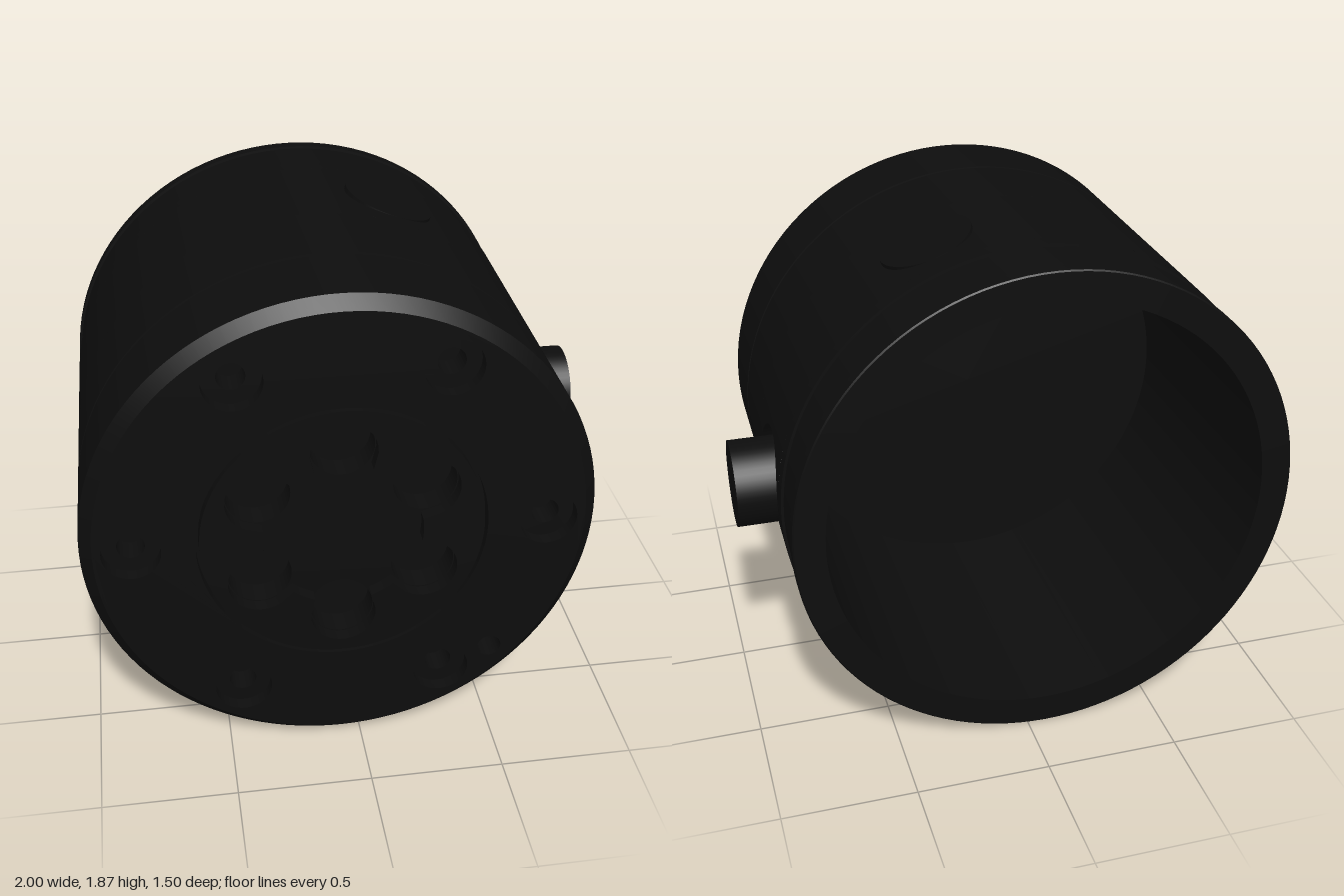
import * as THREE from 'three';
import { toCreasedNormals } from 'three/addons/utils/BufferGeometryUtils.js';

const R = 0.93;          // housing radius
const PORT_Z = -0.21;    // axial position of the side ports
const GAP = 0.2325;      // half size of the wall patch around the connector

const black = new THREE.MeshStandardMaterial({ color: 0x0d0d0d, side: THREE.DoubleSide });
black.name = 'black';

export function createModel() {
  const model = new THREE.Group();
  model.name = 'motorHousing';
  const body = new THREE.Group();
  body.name = 'housing';
  body.position.set(-0.07, 0.935, 0);
  model.add(body);

  const add = (name, geometry) => {
    const mesh = new THREE.Mesh(geometry, black);
    mesh.name = name;
    body.add(mesh);
    return mesh;
  };

  // Turned parts: profile points are [radius, z]
  const turned = (name, points, start = 0, length = Math.PI * 2) => {
    const g = new THREE.LatheGeometry(points.map(([r, z]) => new THREE.Vector2(r, z)), 112, start, length);
    g.rotateX(Math.PI / 2);
    return add(name, toCreasedNormals(g, 0.5));
  };

  // Hollow rear housing, with a stepped rim and a deep cup
  turned('rearHousing', [
    [0, 0.385], [0.815, 0.385], [0.815, -0.75], [0.925, -0.75], [R, -0.745], [R, -0.7],
    [0.92, -0.7], [0.92, -0.5], [R, -0.5], [R, PORT_Z - GAP],
  ]);
  const half = Math.asin(GAP / R);
  turned('middleWall', [[R, PORT_Z - GAP], [R, PORT_Z + GAP]], Math.PI / 2 + half, Math.PI * 2 - 2 * half);
  // Seam groove and chamfered front cap
  turned('frontCap', [
    [R, PORT_Z + GAP], [R, 0.375], [0.89, 0.375], [0.89, 0.39], [R, 0.39], [R, 0.7], [0.885, 0.745], [0.875, 0.745],
  ]);

  // Wall patch with a round sunk seat for the connector
  const patch = new THREE.PlaneGeometry(1, 1, 3, 64);
  const p = patch.attributes.position;
  for (let i = 0; i < p.count; i++) {
    const step = Math.round((p.getX(i) + 0.5) * 3);
    const t = (p.getY(i) + 0.5) * Math.PI * 2;
    const c = Math.cos(t), s = Math.sin(t);
    const r = [0, 0.2, 0.2, GAP / Math.max(Math.abs(c), Math.abs(s))][step];
    const y = r * s;
    p.setXYZ(i, step < 2 ? 0.85 : Math.sqrt(R * R - y * y), y, PORT_Z - r * c);
  }
  add('connectorSeat', toCreasedNormals(patch, 0.5));

  // Side connector
  const plug = new THREE.CylinderGeometry(0.162, 0.162, 0.23, 48);
  plug.rotateZ(-Math.PI / 2);
  add('connector', plug).position.set(0.955, 0, PORT_Z - 0.01);

  // Flat round bosses above and below
  for (const side of [1, -1]) {
    const a = side * THREE.MathUtils.degToRad(70);
    const boss = add('sideBoss', new THREE.CylinderGeometry(0.175, 0.175, 0.08, 48));
    boss.position.set(0.891 * Math.cos(a), 0.891 * Math.sin(a), PORT_Z);
    boss.rotation.z = a - Math.PI / 2;
  }

  // Front face, built as stacked plates with holes
  const circle = (x, y, r) => new THREE.Path().absarc(x, y, r, 0, Math.PI * 2, true);
  const ring = (dist, r, offset) => Array.from({ length: 6 }, (_, i) => {
    const a = offset + i * Math.PI / 3;
    return circle(dist * Math.cos(a), dist * Math.sin(a), r);
  });
  const plate = (name, radius, holes, z0, z1) => {
    const shape = new THREE.Shape().absarc(0, 0, radius, 0, Math.PI * 2, false);
    shape.holes.push(...holes);
    const g = new THREE.ExtrudeGeometry(shape, { depth: z1 - z0, bevelEnabled: false, curveSegments: 40 });
    g.translate(0, 0, z0);
    return add(name, toCreasedNormals(g, 0.5));
  };

  // Six-lobed recess outline: a circle merged with six smaller ones
  const lobes = [];
  const LOBE_DIST = 0.345, LOBE_R = 0.12;
  for (let i = 0; i < 240; i++) {
    const a = i / 240 * Math.PI * 2;
    const d = ((a + Math.PI / 6 - Math.PI / 6 * 2 + Math.PI * 2) % (Math.PI / 3)) - Math.PI / 6;
    const off = d;
    const q = LOBE_R ** 2 - (LOBE_DIST * Math.sin(off)) ** 2;
    const r = q > 0 ? Math.max(0.29, LOBE_DIST * Math.cos(off) + Math.sqrt(q)) : 0.29;
    // lobes sit at 30 degrees and every 60 degrees after
    const b = a + Math.PI / 6;
    lobes.push(new THREE.Vector2(r * Math.cos(b + Math.PI / 6), r * Math.sin(b + Math.PI / 6)));
  }
  // turn the outline so that one lobe points straight up
  const peak = lobes.reduce((m, v) => (v.length() > m.length() ? v : m));
  const turn = Math.PI / 2 - peak.angle();
  const flower = new THREE.Path(lobes.map((v) => v.rotateAround(new THREE.Vector2(), turn)));

  const extra = circle(0.56, -0.565, 0.045);
  plate('outerFace', 0.88, [circle(0, 0, 0.525), ...ring(0.75, 0.105, 0), extra], 0.695, 0.745);
  plate('outputFlange', 0.513, [flower], 0.695, 0.745);
  plate('boltPlate', 0.88, [...ring(LOBE_DIST, LOBE_R - 0.004, Math.PI / 6), ...ring(0.75, 0.05, 0), extra], 0.6, 0.695);
  plate('boltFloor', 0.88, [], 0.57, 0.6);

  return model;
}
